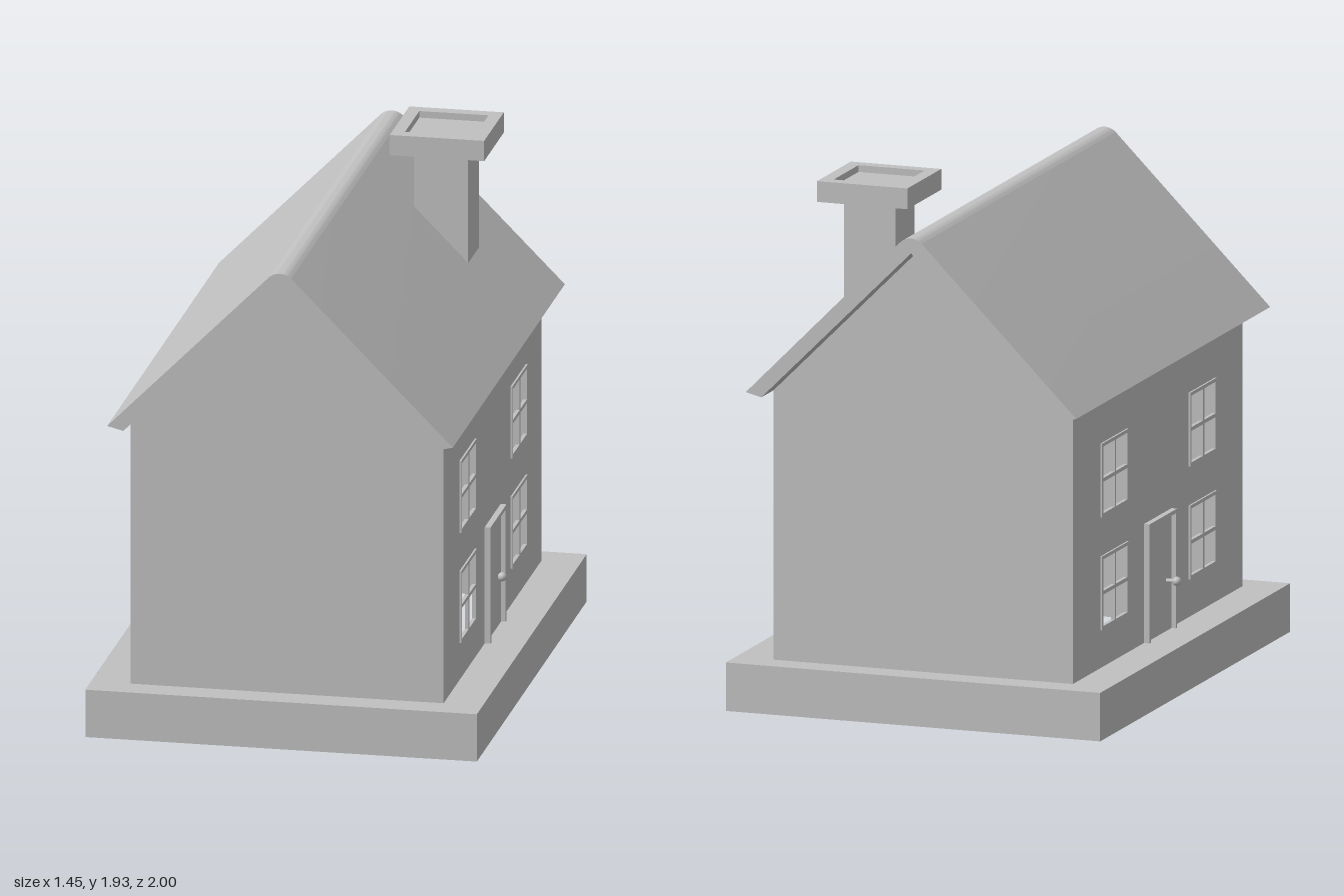
import * as THREE from 'three';
import { toCreasedNormals } from 'three/addons/utils/BufferGeometryUtils.js';

const plaster = new THREE.MeshStandardMaterial({ color: 0xc0c0c0, side: THREE.DoubleSide });
plaster.name = 'light grey';

const WALL_X = 0.58, WALL_Z = 0.875, FLOOR = 0.18, EAVE = 1.18, PEAK = 1.76;

function add(parent, name, geometry, x = 0, y = 0, z = 0) {
  const mesh = new THREE.Mesh(geometry, plaster);
  mesh.name = name;
  mesh.position.set(x, y, z);
  parent.add(mesh);
  return mesh;
}

const polygon = (pts) => new THREE.Shape(pts.map(([x, y]) => new THREE.Vector2(x, y)));
const rect = (x0, y0, x1, y1) => polygon([[x0, y0], [x1, y0], [x1, y1], [x0, y1]]);
const extrude = (shape, depth) => new THREE.ExtrudeGeometry(shape, { depth, bevelEnabled: false });

// Hollow plinth, open below, with a rim around the house
function makeBase() {
  const base = new THREE.Group();
  base.name = 'base';
  const hx = 0.725, hz = 0.98;
  for (let i = 0; i < 4; i++) {
    const [w, d] = i % 2 ? [hz, hx] : [hx, hz];
    const a = i * Math.PI / 2;
    const side = add(base, 'baseSide', new THREE.PlaneGeometry(2 * w, FLOOR),
      Math.sin(a) * d, FLOOR / 2, Math.cos(a) * d);
    side.rotation.y = a;
  }
  const rim = rect(-hx, -hz, hx, hz);
  rim.holes.push(rect(-WALL_X, -WALL_Z, WALL_X, WALL_Z));
  add(base, 'baseTop', new THREE.ShapeGeometry(rim), 0, FLOOR, 0).rotation.x = -Math.PI / 2;
  return base;
}

// Four-pane frame, centred on its origin
function windowFrame() {
  const w = 0.137, h = 0.137, edge = 0.013, bar = 0.007;
  const shape = rect(-w, -h, w, h);
  for (const sx of [-1, 1]) for (const sy of [-1, 1]) {
    const xs = [sx * bar, sx * (w - edge)].sort((a, b) => a - b);
    const ys = [sy * bar, sy * (h - edge)].sort((a, b) => a - b);
    shape.holes.push(rect(xs[0], ys[0], xs[1], ys[1]));
  }
  return extrude(shape, 0.014);
}

// Long wall with four windows and a door; faces local +z
function makeSideWall(knobZ) {
  const wall = new THREE.Group();
  wall.name = 'sideWall';
  const sheet = polygon([
    [-WALL_Z, FLOOR], [-0.128, FLOOR], [-0.128, 0.607], [0.128, 0.607], [0.128, FLOOR],
    [WALL_Z, FLOOR], [WALL_Z, EAVE], [-WALL_Z, EAVE],
  ]);
  const frame = windowFrame();
  for (const x of [-0.455, 0.455]) for (const y of [0.458, 0.877]) {
    sheet.holes.push(rect(x - 0.13, y - 0.13, x + 0.13, y + 0.13));
    add(wall, 'windowFrame', frame, x, y, WALL_X - 0.007);
  }
  add(wall, 'wall', new THREE.ShapeGeometry(sheet), 0, 0, WALL_X);

  const doorFrame = polygon([
    [-0.142, FLOOR], [-0.128, FLOOR], [-0.128, 0.607], [0.128, 0.607],
    [0.128, FLOOR], [0.142, FLOOR], [0.142, 0.622], [-0.142, 0.622],
  ]);
  add(wall, 'doorFrame', extrude(doorFrame, 0.025), 0, 0, WALL_X - 0.003);
  add(wall, 'door', new THREE.ShapeGeometry(rect(-0.128, FLOOR, 0.128, 0.607)), 0, 0, WALL_X + 0.005);

  const stem = knobZ - WALL_X;
  add(wall, 'doorKnobStem', new THREE.CylinderGeometry(0.008, 0.008, stem, 10),
    0.077, 0.367, WALL_X + stem / 2).rotation.x = Math.PI / 2;
  add(wall, 'doorKnob', new THREE.SphereGeometry(0.017, 14, 10), 0.077, 0.367, knobZ);
  return wall;
}

// Pitched slab with a rounded ridge
function makeRoof() {
  const shape = new THREE.Shape();
  const r = 0.06, s = r * Math.SQRT1_2, cy = 1.755;
  shape.moveTo(-WALL_X, EAVE);
  shape.lineTo(0, PEAK);
  shape.lineTo(WALL_X, EAVE);
  shape.lineTo(0.64, 1.195);
  shape.lineTo(s, cy + s);
  shape.absarc(0, cy, r, Math.PI / 4, 3 * Math.PI / 4, false);
  shape.lineTo(-0.64, 1.195);
  shape.closePath();
  const geometry = new THREE.ExtrudeGeometry(shape, { depth: 2, bevelEnabled: false, curveSegments: 10 });
  return toCreasedNormals(geometry, 0.5);
}

// Stack cut to the roof slope, with a dished cap
function makeChimney() {
  const chimney = new THREE.Group();
  chimney.name = 'chimney';
  const stack = polygon([[0.2, 1.62], [0.4, 1.42], [0.4, 1.86], [0.2, 1.86]]);
  add(chimney, 'chimneyStack', extrude(stack, 0.195), 0, 0, -0.627);

  const cap = rect(-0.175, -0.175, 0.175, 0.175);
  cap.holes.push(rect(-0.128, -0.128, 0.128, 0.128));
  add(chimney, 'chimneyCapRim', extrude(cap, 0.077), 0.3, 1.853, -0.53).rotation.x = -Math.PI / 2;
  add(chimney, 'chimneyCapFloor', new THREE.BoxGeometry(0.256, 0.052, 0.256), 0.3, 1.879, -0.53);
  return chimney;
}

export function createModel() {
  const house = new THREE.Group();
  house.name = 'house';
  house.add(makeBase());

  // Long walls repeat by a half turn
  const left = makeSideWall(0.6);
  left.rotation.y = Math.PI / 2;
  const right = makeSideWall(0.625);
  right.rotation.y = -Math.PI / 2;
  house.add(left, right);

  // Gable ends
  const gable = new THREE.ShapeGeometry(polygon([
    [-WALL_X, FLOOR], [WALL_X, FLOOR], [WALL_X, EAVE], [0, PEAK], [-WALL_X, EAVE],
  ]));
  add(house, 'frontGable', gable, 0, 0, WALL_Z);
  add(house, 'backGable', gable, 0, 0, -WALL_Z).rotation.y = Math.PI;

  add(house, 'roof', makeRoof(), 0, 0, -1);
  house.add(makeChimney());
  return house;
}
